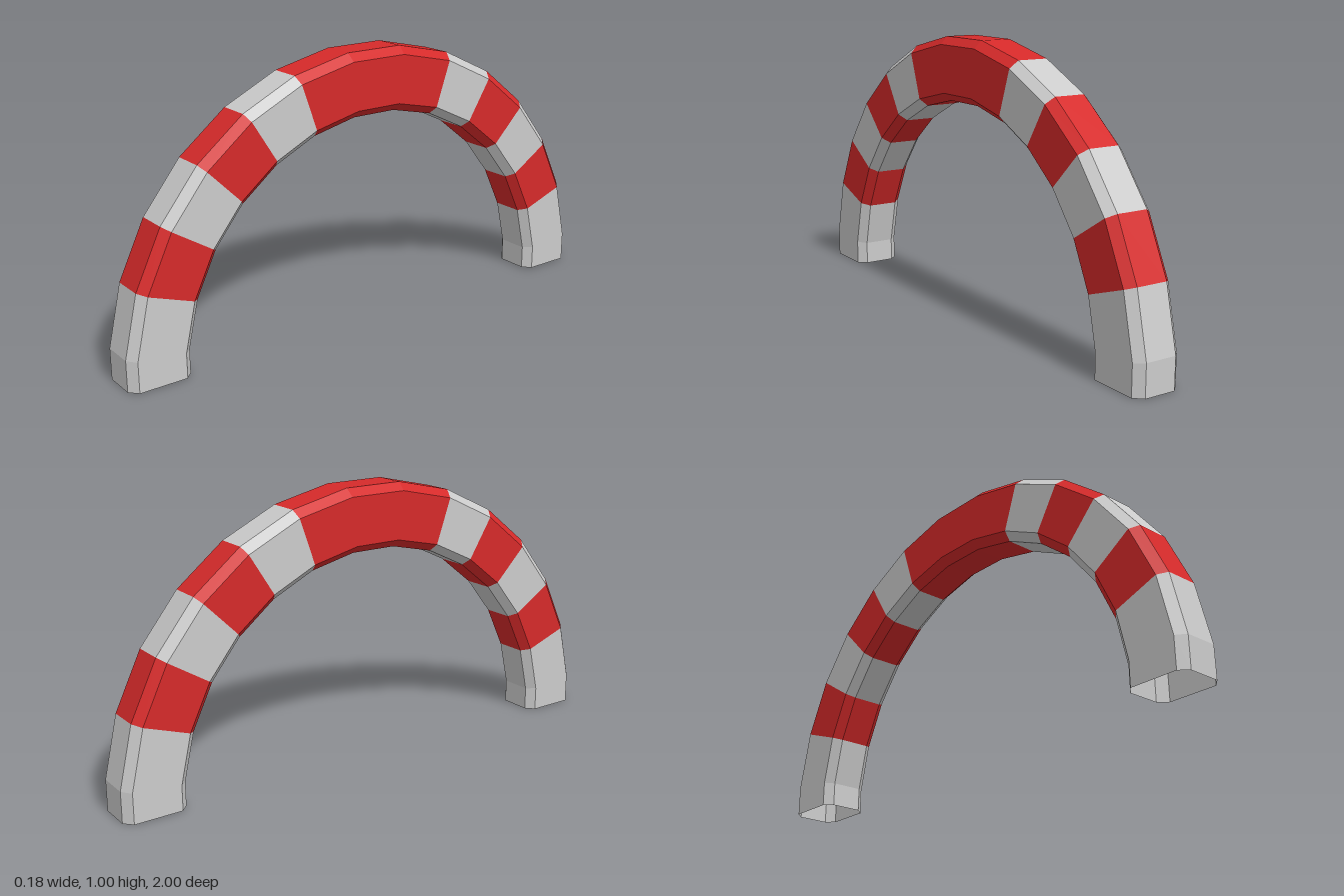
import * as THREE from 'three';

const SIDES = 14; // facets over the half circle
const STEP = Math.PI / SIDES;

// chamfered cross-section: [x, distance from the arch centre]
const SECTION = [
  [0.058, 1], [0.088, 0.972], [0.088, 0.798], [0.058, 0.77],
  [-0.058, 0.77], [-0.088, 0.798], [-0.088, 0.972], [-0.058, 1],
];

// ring 0 and ring 15 are the feet on the ground, the others lie on the arc
function ring(i) {
  if (i === 0 || i === SIDES + 1) {
    const s = i === 0 ? 1 : -1;
    return SECTION.map(([x, r]) => [x, 0, s * r]);
  }
  const a = (i - 0.5) * STEP;
  const k = 1 / Math.cos(STEP / 2);
  return SECTION.map(([x, r]) => [x, r * k * Math.sin(a), r * k * Math.cos(a)]);
}

// open tube band through rings from..to
function band(from, to) {
  const positions = [];
  for (let i = from; i < to; i++) {
    const a = ring(i), b = ring(i + 1);
    for (let j = 0; j < SECTION.length; j++) {
      const n = (j + 1) % SECTION.length;
      positions.push(...a[j], ...b[j], ...a[n], ...a[n], ...b[j], ...b[n]);
    }
  }
  const geometry = new THREE.BufferGeometry();
  geometry.setAttribute('position', new THREE.Float32BufferAttribute(positions, 3));
  // wind outward
  const p = geometry.attributes.position;
  for (let t = 0; t < p.count; t += 3) {
    const v = [0, 1, 2].map((q) => new THREE.Vector3().fromBufferAttribute(p, t + q));
    p.setXYZ(t + 1, v[2].x, v[2].y, v[2].z);
    p.setXYZ(t + 2, v[1].x, v[1].y, v[1].z);
  }
  geometry.computeVertexNormals();
  return geometry;
}

export function createModel() {
  const group = new THREE.Group();
  group.name = 'stripedArch';
  const grey = new THREE.MeshStandardMaterial({ color: 0xcccccc, flatShading: true, side: THREE.DoubleSide });
  const red = new THREE.MeshStandardMaterial({ color: 0xd62a2a, flatShading: true, side: THREE.DoubleSide });

  // alternating stripes, front foot over the crown to the back foot
  const stops = [0, 2, 3, 4, 5, 6, 9, 10, 11, 12, 13, 15];
  for (let s = 0; s < stops.length - 1; s++) {
    const isRed = s % 2 === 1;
    const mesh = new THREE.Mesh(band(stops[s], stops[s + 1]), isRed ? red : grey);
    const foot = s === 0 ? 'frontFoot' : s === stops.length - 2 ? 'backFoot' : null;
    mesh.name = foot || (isRed ? 'redStripe' : 'greyStripe') + s;
    group.add(mesh);
  }
  return group;
}
